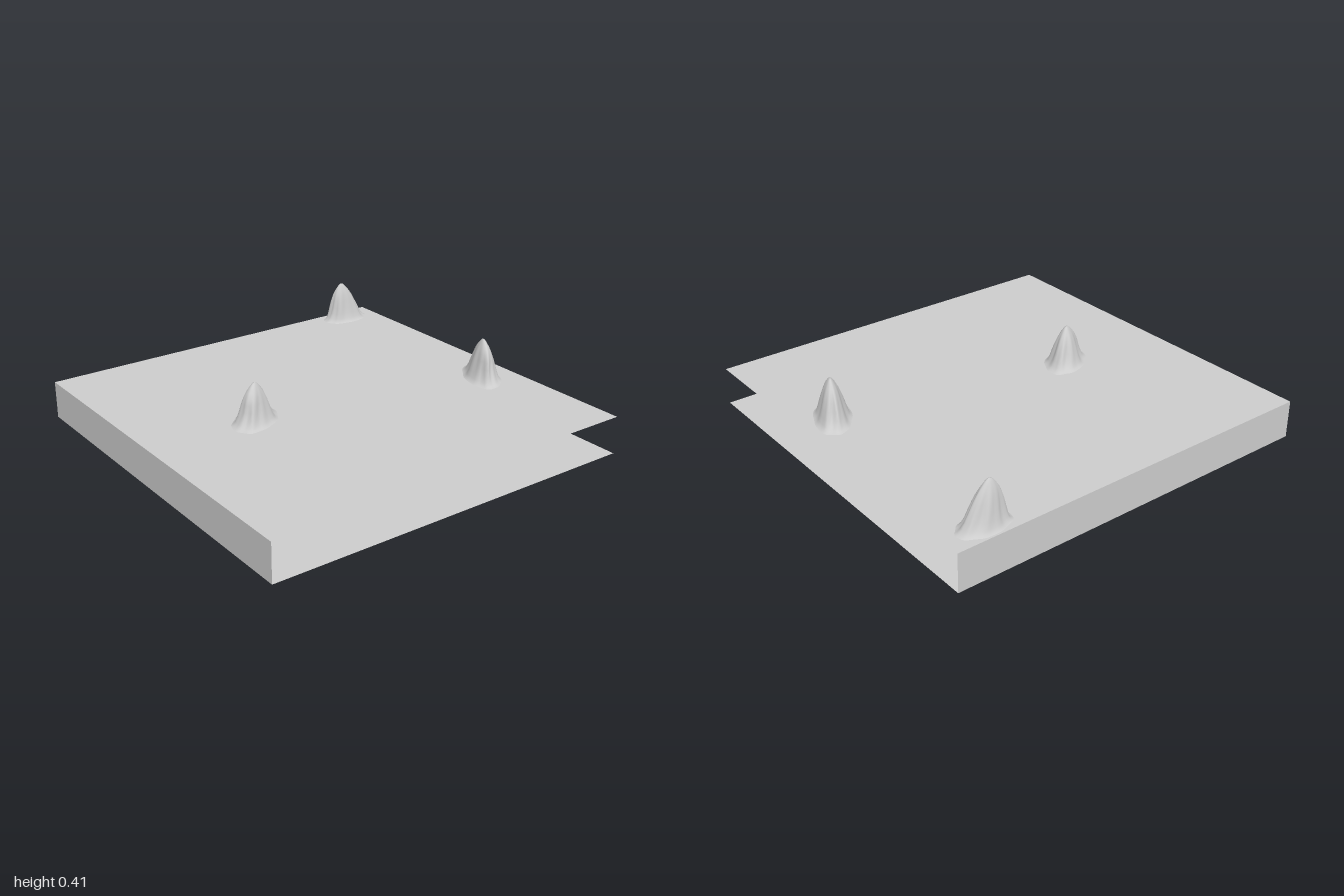
import * as THREE from 'three';

const TOP = 0.195;

// Profile from foot to summit: [share of footprint radius, share of height]
const PROFILE = [[1, 0], [0.9, 0.03], [0.8, 0.1], [0.7, 0.22], [0.6, 0.38], [0.5, 0.55],
  [0.4, 0.7], [0.29, 0.82], [0.17, 0.92], [0.08, 0.98], [0, 1]];

// An elongated peak with fluted flanks and a shoulder at one end of its ridge
function peakGeometry({ length, width, height, turn, shift = 0, shoulder = 0, seed }) {
  const SIDES = 40;
  const pos = [], index = [];
  const c = Math.cos(turn), s = Math.sin(turn);
  PROFILE.forEach(([r, h], i) => {
    for (let j = 0; j < SIDES; j++) {
      const a = (j / SIDES) * Math.PI * 2;
      const flute = 0.05 * Math.sin(5 * a + seed) + 0.04 * Math.sin(9 * a + seed * 2.3 + h * 2);
      const ledge = shoulder * Math.max(0, -Math.cos(a)) ** 2 * Math.max(0, h - 0.35);
      const k = r * (1 + flute * Math.sin(Math.PI * Math.min(1, h + 0.1)) * 1.4 + ledge);
      const u = k * length * Math.cos(a) + shift * h;
      const v = k * width * Math.sin(a);
      pos.push(u * c - v * s, h * height, u * s + v * c);
      if (i < PROFILE.length - 1) {
        const o = i * SIDES, n = (j + 1) % SIDES;
        index.push(o + j, o + SIDES + j, o + n);
        if (i < PROFILE.length - 2) index.push(o + n, o + SIDES + j, o + SIDES + n);
      }
    }
  });
  const g = new THREE.BufferGeometry();
  g.setAttribute('position', new THREE.Float32BufferAttribute(pos, 3));
  g.setIndex(index);
  g.computeVertexNormals();
  return g;
}

export function createModel() {
  const model = new THREE.Group();
  model.name = 'terrainTile';
  const stone = new THREE.MeshStandardMaterial({ color: 0xcccccc, side: THREE.DoubleSide });
  stone.name = 'pale grey';

  const add = (name, geometry, x, y, z) => {
    const mesh = new THREE.Mesh(geometry, stone);
    mesh.name = name;
    mesh.position.set(x, y, z);
    model.add(mesh);
  };

  // Open slab: ground and floor sheets, walls only at the back and at -x
  add('ground', new THREE.PlaneGeometry(2, 2).rotateX(-Math.PI / 2), 0, TOP, 0);
  add('floor', new THREE.PlaneGeometry(2, 2).rotateX(Math.PI / 2), 0, 0, 0);
  add('backWall', new THREE.PlaneGeometry(2, TOP).rotateY(Math.PI), 0, TOP / 2, -1);
  add('sideWall', new THREE.PlaneGeometry(2, TOP).rotateY(-Math.PI / 2), -1, TOP / 2, 0);

  // Three peaks rising from the ground
  add('middlePeak', peakGeometry({ length: 0.16, width: 0.1, height: 0.197, turn: -0.6,
    shoulder: 0.7, seed: 1 }), -0.425, TOP, 0.003);
  add('cornerPeak', peakGeometry({ length: 0.138, width: 0.082, height: 0.218, turn: 0,
    shift: -0.03, shoulder: 0.2, seed: 2.6 }), 0.8, TOP, -0.908);
  add('frontPeak', peakGeometry({ length: 0.175, width: 0.092, height: 0.208, turn: -1.1,
    shoulder: 0.7, seed: 4.2 }), 0.825, TOP, 0.237);

  return model;
}
